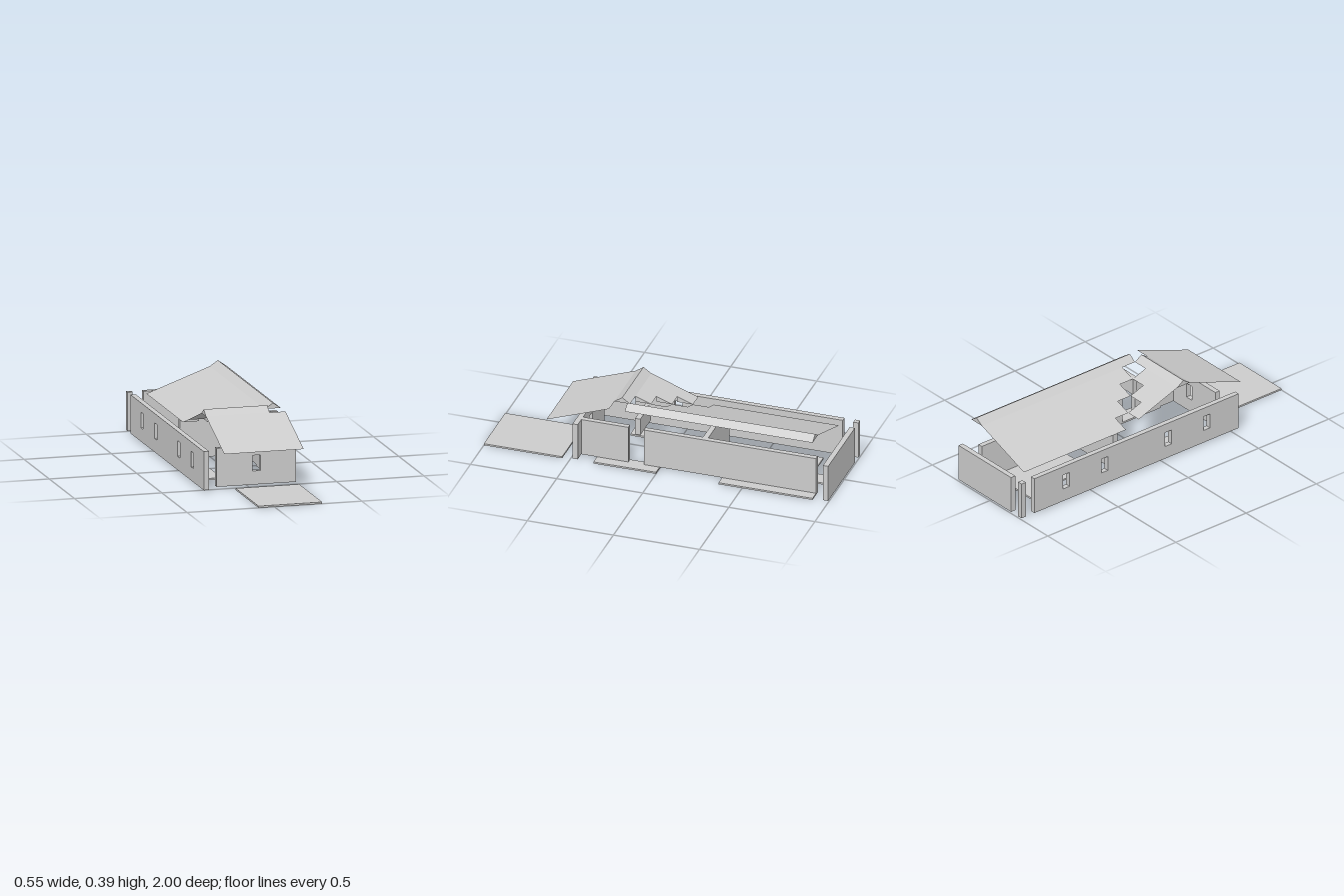
import * as THREE from 'three';

const U = 1 / 11;               // plan module
const T = U / 3;                // wall thickness
const Y0 = 0.01, Y1 = 0.228;    // wall bottom and top
const Y2 = 0.36, Y3 = 0.391;    // roof top and ridge peak
const slopeY = (k) => Y1 + (Y2 - Y1) * k / 4; // roof height k modules up the slope

const solid = new THREE.MeshStandardMaterial({ color: 0xcccccc, flatShading: true });
const sheet = new THREE.MeshStandardMaterial({ color: 0xcccccc, flatShading: true, side: THREE.DoubleSide });

// Box between two corners
function box(parent, name, x0, x1, y0, y1, z0, z1) {
  const m = new THREE.Mesh(new THREE.BoxGeometry(x1 - x0, y1 - y0, z1 - z0), solid);
  m.position.set((x0 + x1) / 2, (y0 + y1) / 2, (z0 + z1) / 2);
  m.name = name;
  parent.add(m);
}

// Thin roof surface from convex polygons, corners counter-clockwise from outside
function sheets(parent, name, polygons) {
  const pos = [];
  for (const p of polygons)
    for (let i = 1; i < p.length - 1; i++) pos.push(...p[0], ...p[i], ...p[i + 1]);
  const g = new THREE.BufferGeometry();
  g.setAttribute('position', new THREE.Float32BufferAttribute(pos, 3));
  g.computeVertexNormals();
  const m = new THREE.Mesh(g, sheet);
  m.name = name;
  parent.add(m);
}

// Wall along +x from the origin, with window holes at the given centres
function windowWall(name, length, centres) {
  const s = new THREE.Shape();
  s.moveTo(0, Y0).lineTo(length, Y0).lineTo(length, Y1).lineTo(0, Y1).closePath();
  for (const c of centres) {
    const h = new THREE.Path();
    h.moveTo(c - 0.023, 0.087).lineTo(c - 0.023, 0.175).lineTo(c + 0.023, 0.175).lineTo(c + 0.023, 0.087).closePath();
    s.holes.push(h);
  }
  const m = new THREE.Mesh(new THREE.ExtrudeGeometry(s, { depth: T, bevelEnabled: false }), solid);
  m.name = name;
  return m;
}

export function createModel() {
  const model = new THREE.Group();
  model.name = 'house';

  // Floor slabs, in modules: x0, x1, z0, z1
  const floors = new THREE.Group();
  floors.name = 'floors';
  model.add(floors);
  for (const [a, b, c, d] of [
    [-1, 3, 6, 11], [2, 3, 0, 4], [-2, -1, 0, 3],
    [-1, 3, -9, -4], [2, 3, -10, -9], [0, 1, -10, -9], [-2, -1, -9, -8],
  ]) box(floors, 'floorSlab', a * U, b * U, 0, Y0, c * U, d * U);

  // Plain walls
  const walls = new THREE.Group();
  walls.name = 'walls';
  model.add(walls);
  const wall = (name, x0, x1, z0, z1) => box(walls, name, x0, x1, Y0, Y1, z0, z1);
  wall('backWall', -2 * U, 3 * U, -11 * U, -11 * U + T);
  wall('cornerPost', -3 * U, -3 * U + T, -11 * U, -11 * U + T);
  wall('longSideWall', 2 * U, 2 * U + T, -10 * U, U);
  wall('shortSideWall', 2 * U, 2 * U + T, 2 * U, 5 * U);
  wall('partitionWall', -2 * U, 2 * U, -3 * U, -3 * U + T);
  box(walls, 'lintel', U, 3 * U, Y1, 0.328, U, U + T);

  // Walls with windows
  const front = windowWall('frontWall', 5 * U, [2.5 * U]);
  front.position.set(-2 * U, 0, 5 * U);
  const side = windowWall('windowSideWall', 16 * U, [2.5, 5.5, 12.5 - 2, 13.5].map((v, i) => (i === 2 ? 10.5 : v) * U));
  side.rotation.y = -Math.PI / 2;
  side.position.set(-3 * U + T, 0, -10 * U);
  walls.add(front, side);

  // Sloping roofs; the two inner slopes meet in a stepped valley
  const roof = new THREE.Group();
  roof.name = 'roof';
  model.add(roof);
  sheets(roof, 'frontSlope', [[
    [-2 * U, Y1, 7 * U], [3 * U, Y1, 7 * U], [3 * U, Y2, 3 * U], [-2 * U, Y2, 3 * U],
  ]]);
  const sideSlope = [], backSlope = [];
  for (let i = 0; i < 4; i++) {
    const a = (i - 2) * U, b = (i - 1) * U, lo = slopeY(i), hi = slopeY(i + 1);
    sideSlope.push([[a, lo, -10 * U], [a, lo, a], [b, hi, a], [b, hi, -10 * U]]);
    sideSlope.push([[a, lo, a], [b, lo, a], [b, hi, a]]);
    if (i === 3) continue;
    backSlope.push([[a, Y2, 2 * U], [b, Y2, 2 * U], [b, hi, b], [a, hi, b]]);
    backSlope.push([[b, hi, b], [b, slopeY(i + 2), b + U], [b, hi, b + U]]);
  }
  sheets(roof, 'sideSlope', sideSlope);
  sheets(roof, 'backSlope', backSlope);

  // Ridge caps with a triangular rib at every module
  const ridge = (name, n, at) => {
    const polys = [];
    for (let i = 0; i <= n; i++) {
      const A = at(i, 0, Y2), P = at(i, 0.5, Y3), B = at(i, 1, Y2);
      polys.push([A, B, P]);
      if (i === n) break;
      const A2 = at(i + 1, 0, Y2), P2 = at(i + 1, 0.5, Y3), B2 = at(i + 1, 1, Y2);
      polys.push([A, A2, P2, P].reverse(), [P, P2, B2, B].reverse());
    }
    sheets(roof, name, polys);
  };
  ridge('frontRidge', 4, (i, t, y) => [(2 - i) * U, y, (2 + t) * U]);
  ridge('sideRidge', 12, (i, t, y) => [(2 + t) * U, y, (i - 10) * U]);

  return model;
}
